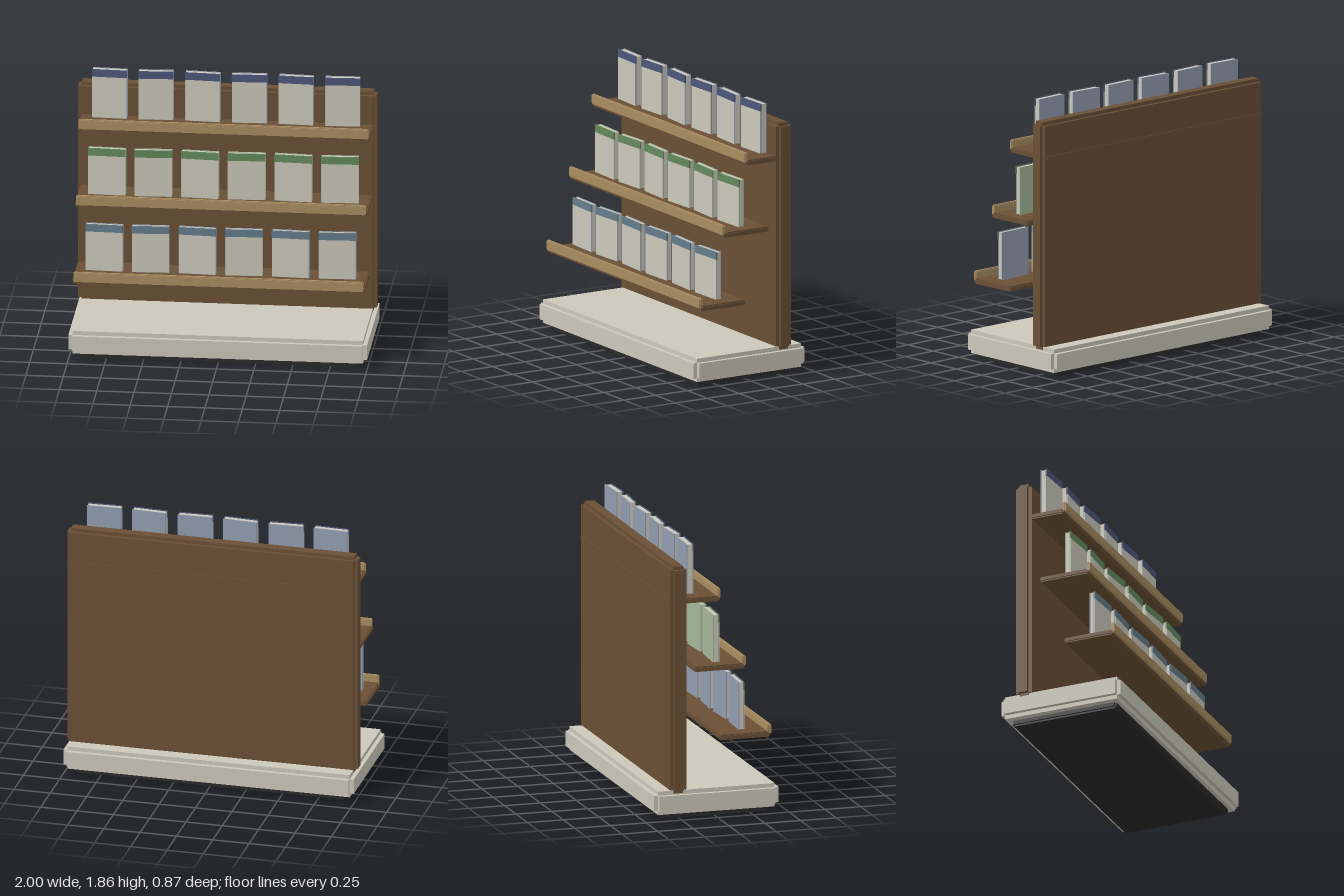
import * as THREE from 'three';

const mat = (name, color) => {
  const m = new THREE.MeshStandardMaterial({ color });
  m.name = name;
  return m;
};

export function createModel() {
  const root = new THREE.Group();
  const wood = mat('dark wood', 0x6a4f35);
  const lipWood = mat('light wood', 0xa88c60);
  const cream = mat('cream', 0xcbc8ba);
  const black = mat('plinth black', 0x2b2a2a);
  const blueCover = mat('blue cover', 0x929db0);
  const greenCover = mat('green cover', 0xa3b898);

  // Axis-aligned block given by its extents
  function block(parent, name, m, [x0, x1], [y0, y1], [z0, z1]) {
    const mesh = new THREE.Mesh(new THREE.BoxGeometry(x1 - x0, y1 - y0, z1 - z0), m);
    mesh.position.set((x0 + x1) / 2, (y0 + y1) / 2, (z0 + z1) / 2);
    mesh.name = name;
    parent.add(mesh);
    return mesh;
  }

  // Block with stepped edges: three crossed boxes, each full size along one axis
  function stepped(name, m, x, y, z, r) {
    const g = new THREE.Group();
    g.name = name;
    const inset = ([a, b]) => [a + r, b - r];
    block(g, name + 'Wide', m, x, inset(y), inset(z));
    block(g, name + 'Tall', m, inset(x), y, inset(z));
    block(g, name + 'Deep', m, inset(x), inset(y), z);
    root.add(g);
  }

  // Base and back panel
  stepped('plinth', black, [-0.93, 0.93], [0, 0.05], [-0.375, 0.38], 0.012);
  stepped('base', cream, [-1, 1], [0.04, 0.2], [-0.435, 0.435], 0.028);
  stepped('backPanel', wood, [-1, 1], [0.18, 1.735], [-0.325, -0.21], 0.024);

  // Each row: shelf height, front edge, book size and colours
  const rows = [
    { y: 0.52, z: 0.376, bookZ: 0.202, bottom: 0.565, top: 0.89, w: 0.25, t: 0.04, cover: blueCover, band: mat('steel blue band', 0x647c8b) },
    { y: 1.0, z: 0.198, bookZ: 0.025, bottom: 1.04, top: 1.365, w: 0.252, t: 0.043, cover: greenCover, band: mat('green band', 0x64895c) },
    { y: 1.475, z: 0.022, bookZ: -0.155, bottom: 1.52, top: 1.86, w: 0.234, t: 0.05, cover: blueCover, band: mat('navy band', 0x4c567a) },
  ];
  const centres = [-0.78, -0.47, -0.157, 0.155, 0.468, 0.78];
  const yaws = [-0.04, 0.05, -0.05, 0.04, -0.05, 0.04];

  for (const r of rows) {
    stepped('shelf', wood, [-0.977, 0.977], [r.y, r.y + 0.036], [r.z - 0.352, r.z], 0.008);
    stepped('shelfLip', lipWood, [-0.97, 0.97], [r.y + 0.018, r.y + 0.086], [r.z - 0.017, r.z + 0.01], 0.006);

    // Books: two covers around the pages, a pale front sheet and a band on top
    centres.forEach((cx, i) => {
      const book = new THREE.Group();
      book.name = 'book';
      const x = [-r.w / 2, r.w / 2], h = r.top - r.bottom, f = r.t / 2;
      block(book, 'pages', cream, [x[0] + 0.004, x[1] - 0.004], [0.003, h - 0.003], [-f + 0.006, f - 0.008]);
      block(book, 'backCover', r.cover, x, [0, h], [-f, -f + 0.006]);
      block(book, 'frontCover', r.cover, x, [0, h], [f - 0.008, f - 0.002]);
      block(book, 'frontSheet', cream, [x[0] + 0.002, x[1] - 0.002], [0.002, h - 0.05], [f - 0.002, f]);
      block(book, 'titleBand', r.band, [x[0] - 0.001, x[1] + 0.001], [h - 0.05, h + 0.001], [f - 0.009, f]);
      book.position.set(cx, r.bottom, r.bookZ);
      book.rotation.y = yaws[i];
      root.add(book);
    });
  }
  return root;
}
